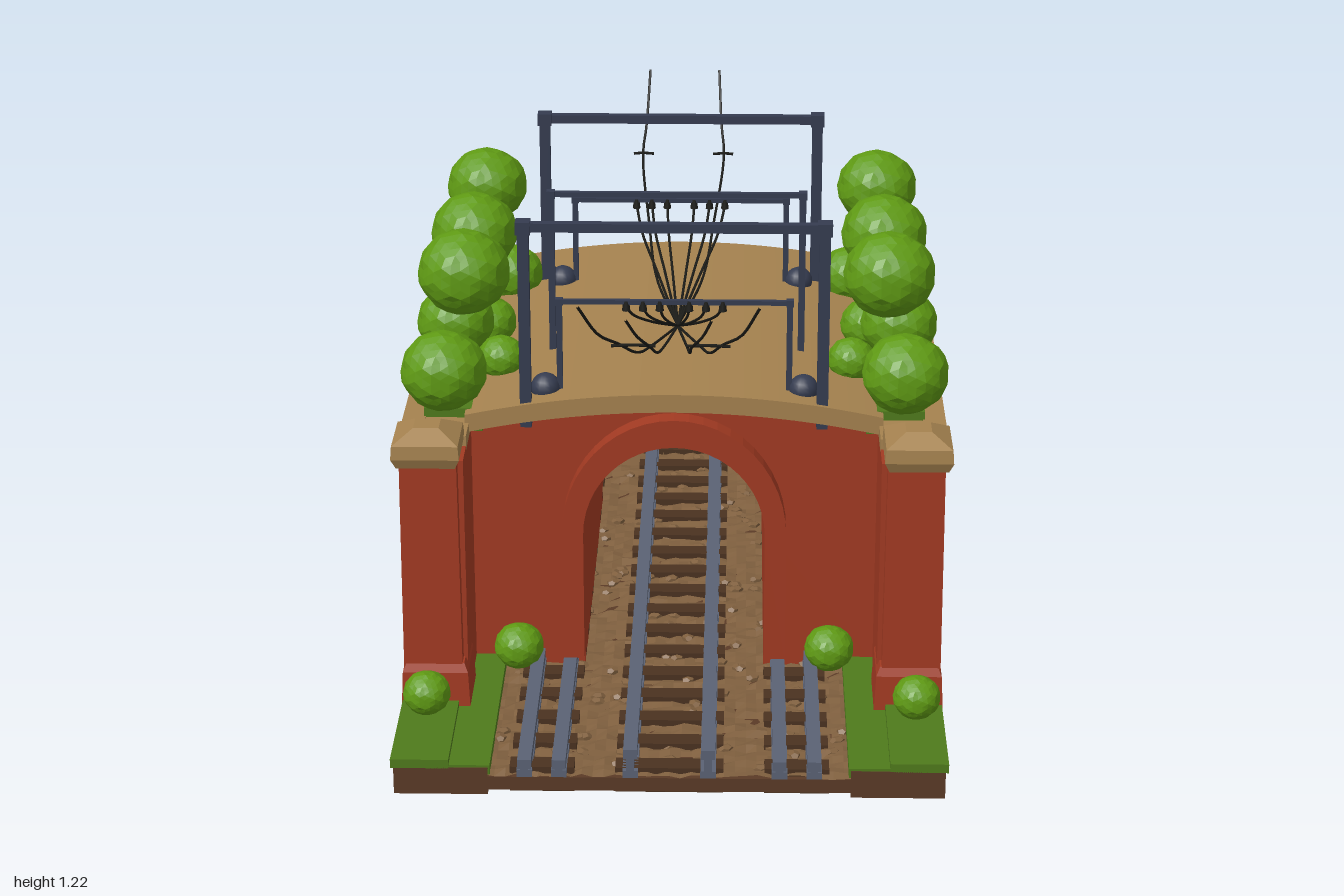
import * as THREE from 'three';

const mat = (color, extra = {}) => new THREE.MeshStandardMaterial({ color, ...extra });
const brick = mat(0xa23a22, { flatShading: true });
const sand = mat(0xa5824f, { flatShading: true });
const grass = mat(0x4f7a1c, { flatShading: true });
const leaf = mat(0x5f9a14, { flatShading: true });
const soil = mat(0x5a3a26, { flatShading: true });
const ballast = mat(0x80603f, { flatShading: true });
const wood = mat(0x4a3220, { flatShading: true });
const steel = mat(0x5a6274);
const iron = mat(0x353c50);
const black = mat(0x1c1c18);

// repeatable position-based roughness in -1..1
const noise = (x, y, z) => {
  const s = Math.sin(x * 127.1 + y * 311.7 + z * 74.7) * 43758.5453;
  return (s - Math.floor(s)) * 2 - 1;
};

// height of the humped deck surface
const deckY = x => 0.79 - 0.055 * Math.pow(Math.abs(x) / 0.5, 2);

export function createModel() {
  const root = new THREE.Group();

  const add = (name, geo, m, x = 0, y = 0, z = 0, parent = root) => {
    const mesh = new THREE.Mesh(geo, m);
    mesh.name = name;
    mesh.position.set(x, y, z);
    parent.add(mesh);
    return mesh;
  };
  // box given by its extents
  const box = (name, m, x0, x1, y0, y1, z0, z1, parent = root) =>
    add(name, new THREE.BoxGeometry(x1 - x0, y1 - y0, z1 - z0), m,
      (x0 + x1) / 2, (y0 + y1) / 2, (z0 + z1) / 2, parent);
  // box on side s, given by its distances from the middle
  const sideBox = (name, m, s, a, b, ...rest) =>
    box(name, m, Math.min(s * a, s * b), Math.max(s * a, s * b), ...rest);
  // square frustum standing on y
  const frustum = (name, m, w0, w1, h, x, y, z) => {
    const g = new THREE.CylinderGeometry(w1 * Math.SQRT1_2, w0 * Math.SQRT1_2, h, 4);
    g.rotateY(Math.PI / 4);
    return add(name, g, m, x, y + h / 2, z);
  };
  const extrude = (name, shape, m, z0, z1) => add(name,
    new THREE.ExtrudeGeometry(shape, { depth: z1 - z0, bevelEnabled: false }), m, 0, 0, z0);
  const tube = (name, pts, r, m) => add(name, new THREE.TubeGeometry(
    new THREE.CatmullRomCurve3(pts.map(p => new THREE.Vector3(...p))), 28, r, 5), m);

  // ground slab with recessed underside, rough track bed and grass verges
  box('groundSlab', soil, -0.43, 0.43, 0.012, 0.046, -1, 1);
  const bed = new THREE.PlaneGeometry(0.86, 2, 34, 80).rotateX(-Math.PI / 2);
  const bp = bed.attributes.position;
  for (let i = 0; i < bp.count; i++) {
    bp.setY(i, 0.051 + 0.006 * noise(bp.getX(i), 1, bp.getZ(i)));
  }
  add('trackBed', bed, ballast);
  for (const s of [-1, 1]) {
    sideBox('slabEdge', soil, s, 0.42, 0.638, 0, 0.068, -1, 1);
    sideBox('innerVerge', grass, s, 0.415, 0.52, 0.05, 0.074, -0.998, 0.998);
    sideBox('outerVerge', grass, s, 0.51, 0.645, 0.066, 0.088, -1, 1);
  }

  // three tracks: sleepers and profiled rails
  const rail = (x, h) => {
    const g = new THREE.Group();
    g.name = 'rail';
    box('railFoot', steel, x - 0.018, x + 0.018, 0.045, 0.064, -1, 1, g);
    box('railWeb', steel, x - 0.009, x + 0.009, 0.06, h - 0.01, -1, 1, g);
    box('railHead', steel, x - 0.016, x + 0.016, h - 0.024, h, -1, 1, g);
    root.add(g);
  };
  for (const s of [-1, 1]) {
    rail(s * 0.09, 0.118);
    rail(s * 0.255, 0.09);
    rail(s * 0.335, 0.09);
  }
  for (let i = 0; i < 17; i++) {
    const z = -0.96 + i * 0.12;
    for (const [x, w] of [[0, 0.25], [-0.295, 0.15], [0.295, 0.15]]) {
      box('sleeper', wood, x - w / 2, x + w / 2, 0.03, 0.064, z - 0.025, z + 0.025);
      box('undersideSleeper', wood, x - w / 2, x + w / 2, 0.002, 0.02, z - 0.025, z + 0.025);
    }
  }

  // loose stones between the sleepers
  const stone = new THREE.DodecahedronGeometry(0.016);
  for (let i = 0; i < 220; i++) {
    const m = add('ballastStone', stone, ballast, 0.41 * noise(i, 2, 5), 0.052, 0.98 * noise(i, 7, 3));
    m.scale.set(1.2, 0.6, 1);
    m.rotation.y = i;
  }

  // outline of an arched opening, half width w, springing at ys, height yt
  const archPoints = (w, ys, yt, y0) => {
    const pts = [[w, y0]];
    for (let i = 0; i <= 24; i++) {
      const a = i / 24 * Math.PI;
      pts.push([w * Math.cos(a), ys + (yt - ys) * Math.sin(a)]);
    }
    pts.push([-w, y0]);
    return pts.map(p => new THREE.Vector2(...p));
  };
  const deckLine = (w, dy) => Array.from({ length: 25 }, (_, i) => {
    const x = w - 2 * w * i / 24;
    return new THREE.Vector2(x, deckY(x) + dy);
  });

  // tunnel body with humped top and arched passage
  const opening = archPoints(0.22, 0.42, 0.65, 0.05);
  extrude('tunnelBody', new THREE.Shape([
    ...opening.slice().reverse(), new THREE.Vector2(0.5, 0.05), ...deckLine(0.5, -0.03), new THREE.Vector2(-0.5, 0.05),
  ]), brick, -0.595, 0.415);

  // raised arch surrounds on both portals
  const surround = new THREE.Shape([...archPoints(0.272, 0.42, 0.72, 0.09), ...archPoints(0.22, 0.42, 0.65, 0.09).reverse()]);
  extrude('frontArchSurround', surround, brick, 0.41, 0.465);
  extrude('backArchSurround', surround, brick, -0.645, -0.59);

  // sandy humped deck
  extrude('deck', new THREE.Shape([...deckLine(0.5, 0), ...deckLine(0.5, -0.045).reverse()]), sand, -0.655, 0.475);

  // side walls with coping, planted tops and corner pillars
  for (const s of [-1, 1]) {
    sideBox('sideWall', brick, s, 0.49, 0.632, 0.06, 0.69, -0.8, 0.65);
    sideBox('coping', sand, s, 0.595, 0.65, 0.685, 0.718, -0.8, 0.65);
    sideBox('plantingBed', grass, s, 0.46, 0.6, 0.68, 0.738, -0.62, 0.44);
    sideBox('frontWallTop', sand, s, 0.49, 0.6, 0.68, 0.715, 0.44, 0.56);
    sideBox('backWallTop', sand, s, 0.49, 0.6, 0.68, 0.715, -0.72, -0.62);
    for (const z of [0.618, -0.772]) {
      frustum('pillarPlinth', brick, 0.165, 0.156, 0.09, s * 0.565, 0.07, z);
      frustum('pillarPlinthSlope', brick, 0.156, 0.138, 0.022, s * 0.565, 0.16, z);
      frustum('pillarShaft', brick, 0.14, 0.134, 0.54, s * 0.57, 0.16, z);
      frustum('pillarCapBase', sand, 0.138, 0.16, 0.025, s * 0.575, 0.685, z);
      frustum('pillarCap', sand, 0.16, 0.155, 0.033, s * 0.575, 0.71, z);
      frustum('pillarCapTop', sand, 0.155, 0.06, 0.028, s * 0.575, 0.743, z);
    }
  }

  // lumpy round bushes
  const bush = (name, x, y, z, r) => {
    const g = new THREE.IcosahedronGeometry(r, 4);
    const p = g.attributes.position;
    const v = new THREE.Vector3();
    for (let i = 0; i < p.count; i++) {
      v.fromBufferAttribute(p, i);
      const q = [v.x, v.y, v.z].map(c => Math.round(c / r * 50));
      v.multiplyScalar(1 + 0.03 * noise(q[0], q[1], q[2]));
      p.setXYZ(i, v.x, v.y * 0.93, v.z);
    }
    g.computeVertexNormals();
    add(name, g, leaf, x, y, z);
  };
  const hedge = [
    [0.52, 0.99, 0.165, 0.112], [0.52, 0.985, -0.155, 0.108], [0.515, 0.99, -0.53, 0.104],
    [0.552, 0.825, 0.41, 0.103], [0.55, 0.835, 0.09, 0.095], [0.55, 0.835, -0.235, 0.093],
    [0.54, 0.835, -0.51, 0.095], [0.445, 0.785, -0.41, 0.08], [0.43, 0.78, 0.2, 0.058],
    [0.48, 0.78, -0.05, 0.07], [0.5, 0.755, -0.15, 0.055],
  ];
  for (const s of [-1, 1]) {
    for (const [x, y, z, r] of hedge) bush('hedgeBush', s * x, y, z, r);
    bush('groundBush', s * 0.58, 0.14, 0.76, 0.056);
    bush('groundBush', s * 0.38, 0.125, 0.47, 0.06);
    bush('groundBush', s * 0.575, 0.13, -0.89, 0.045);
    bush('groundBush', s * 0.37, 0.12, -0.68, 0.05);
  }

  // wire gantries: two posts and a crossbeam
  const gantry = (name, hw, top, z, t) => {
    const g = new THREE.Group();
    g.name = name;
    for (const s of [-1, 1]) {
      box('post', iron, s * hw - t / 2, s * hw + t / 2, 0.7, top, z - t / 2, z + t / 2, g);
      box('postHead', iron, s * hw - t * 0.65, s * hw + t * 0.65, top - t, top + t * 0.15, z - t * 0.65, z + t * 0.65, g);
    }
    box('crossbeam', iron, -hw, hw, top - t * 0.8, top, z - t * 0.4, z + t * 0.4, g);
    root.add(g);
    return g;
  };
  gantry('tallGantry', 0.354, 1.212, 0.45, 0.027);
  gantry('tallGantry', 0.354, 1.212, -0.435, 0.027);
  gantry('middleGantry', 0.308, 1.178, 0.11, 0.016);
  for (const z of [0.39, -0.39]) {
    const g = gantry('lowGantry', 0.275, 1, z, 0.014);
    for (const s of [-1, 1]) {
      for (const x of [0.035, 0.075, 0.115]) {
        add('insulator', new THREE.CylinderGeometry(0.007, 0.01, 0.025, 8), black, s * x, 0.985, z, g);
      }
      add('domeFooting', new THREE.SphereGeometry(0.036, 16, 10), iron, s * 0.31, 0.775, z, g);
    }
  }

  // overhead wires fanning out from the middle of the deck
  for (const s of [-1, 1]) {
    const longWire = (d, a, b, c, midY, endY) => tube('longWire', [[0, 0.79, 0], [s * a * 0.6, 0.83, d * 0.25],
      [s * a * 0.85, 0.9, d * 0.48], [s * b, midY, d * 0.78], [s * (b + c) / 2, midY + 0.055, d * 0.87],
      [s * c, endY, d * 0.99]], 0.0035, black);
    longWire(1, 0.1, 0.12, 0.2, 1.035, 1.2);
    longWire(1, 0.045, 0.05, 0.095, 1.03, 1.17);
    longWire(-1, 0.1, 0.11, 0.095, 1.0, 1.175);
    tube('wireSpacer', [[s * 0.035, 1.03, 0.78], [s * 0.08, 1.032, 0.78], [s * 0.135, 1.03, 0.78]], 0.004, black);
    tube('wireSpacer', [[s * 0.08, 1, -0.78], [s * 0.11, 1.002, -0.78], [s * 0.135, 1, -0.78]], 0.004, black);
    for (const d of [-1, 1]) for (const x of [0.035, 0.075, 0.115]) {
      tube('shortWire', [[0, 0.79, 0], [s * x * 0.5, 0.87, d * 0.19], [s * x * 0.85, 0.93, d * 0.31],
        [s * x, 0.98, d * 0.39]], 0.0035, black);
    }
  }
  return root;
}
